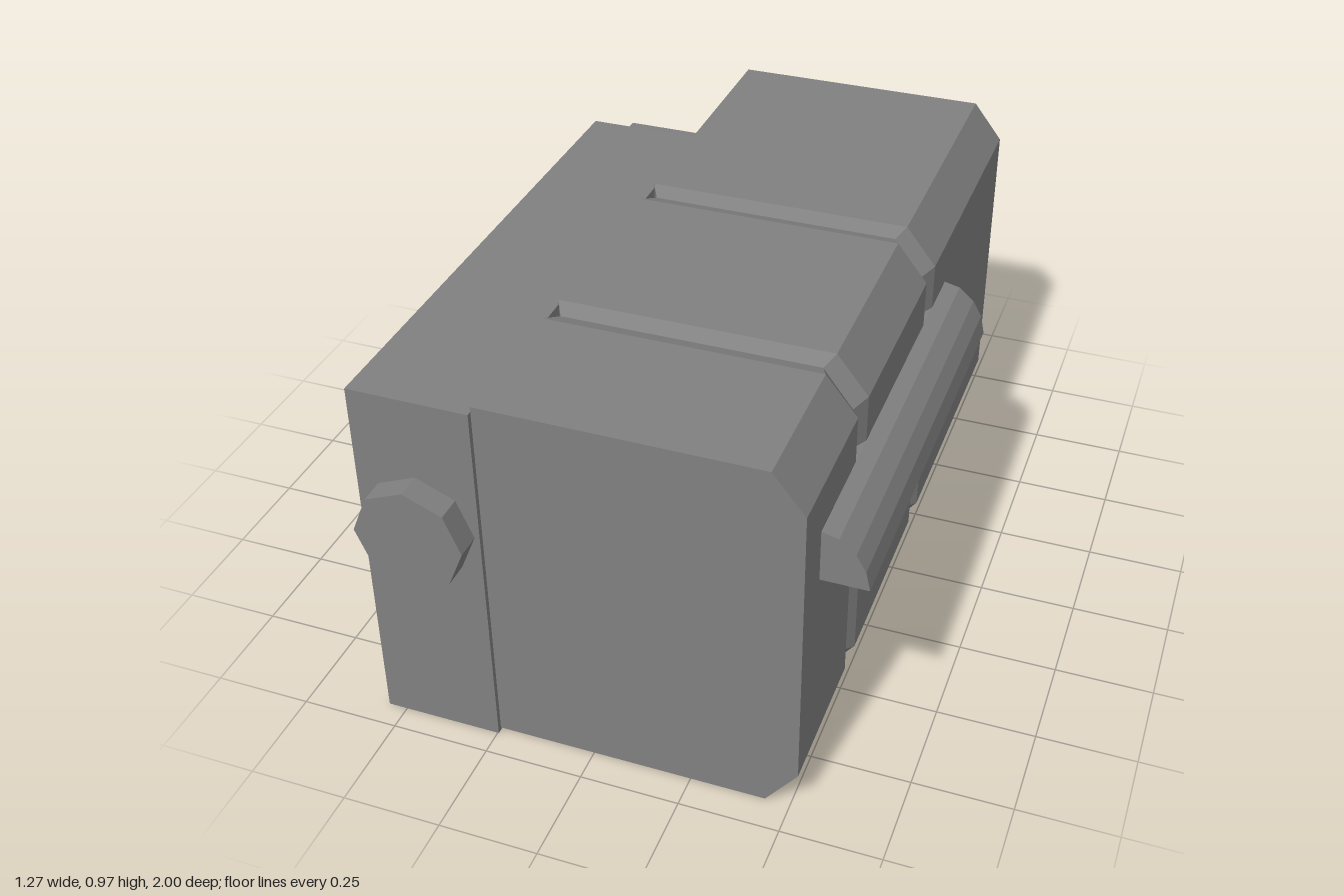
import * as THREE from 'three';

const grey = new THREE.MeshStandardMaterial({ color: 0x808080, flatShading: true });
grey.name = 'plain grey';

function part(name, geometry, x = 0, y = 0, z = 0) {
  const mesh = new THREE.Mesh(geometry, grey);
  mesh.name = name;
  mesh.position.set(x, y, z);
  return mesh;
}

function prism(points, depth) {
  const shape = new THREE.Shape(points.map(([x, y]) => new THREE.Vector2(x, y)));
  return new THREE.ExtrudeGeometry(shape, { depth, bevelEnabled: false });
}

// Chamfered block lofted along z, pinched into V grooves at some sections
function bodyGeometry() {
  const profile = [
    [-0.247, 0.007], [0.44, 0.007], [0.519, 0.11],
    [0.519, 0.873], [0.44, 0.973], [-0.247, 0.973],
  ];
  const cx = 0.136, cy = 0.49, n = profile.length;
  const sections = [[-0.926, 0]];
  for (const z of [-0.12, 0.497]) sections.push([z - 0.044, 0], [z, 1], [z + 0.044, 0]);
  sections.push([0.922, 0]);
  const rings = sections.map(([z, pinch]) => profile.map(([x, y]) => [
    cx + (x - cx) * (1 - 0.063 * pinch), cy + (y - cy) * (1 - 0.031 * pinch), z,
  ]));
  const positions = [];
  const tri = (a, b, c) => positions.push(...a, ...b, ...c);
  for (let i = 0; i < rings.length - 1; i++) {
    for (let j = 0; j < n; j++) {
      const k = (j + 1) % n, r = rings[i], s = rings[i + 1];
      tri(r[j], r[k], s[k]);
      tri(r[j], s[k], s[j]);
    }
  }
  // End caps
  const back = rings[0], front = rings[rings.length - 1];
  for (let j = 1; j < n - 1; j++) {
    tri(back[0], back[j + 1], back[j]);
    tri(front[0], front[j], front[j + 1]);
  }
  const geometry = new THREE.BufferGeometry();
  geometry.setAttribute('position', new THREE.Float32BufferAttribute(positions, 3));
  geometry.computeVertexNormals();
  return geometry;
}

// Octagonal knob along z with a corner pointing up
function knobGeometry(radius, depth) {
  return new THREE.CylinderGeometry(radius, radius, depth, 8).rotateX(Math.PI / 2);
}

export function createModel() {
  const model = new THREE.Group();
  model.name = 'groovedCase';

  model.add(part('body', bodyGeometry()));

  // Side panel, stepped at the rear; drawn in (z, y) and extruded towards -x
  const panel = prism([
    [-0.9, 0], [0.935, 0], [0.935, 0.96], [-0.48, 0.96],
    [-0.48, 0.84], [-0.75, 0.83], [-0.75, 0.385], [-0.9, 0.355],
  ], 0.302).rotateY(-Math.PI / 2);
  model.add(part('sidePanel', panel, -0.247));

  // Handles on the side panel
  const handle = prism([
    [-0.549, 0.812], [-0.574, 0.812], [-0.639, 0.744], [-0.639, 0.24],
    [-0.574, 0.172], [-0.549, 0.172], [-0.549, 0.233], [-0.574, 0.233],
    [-0.574, 0.734], [-0.549, 0.734],
  ], 0.074);
  for (const [name, z] of [['rearHandle', -0.414], ['frontHandle', 0.484]]) {
    model.add(part(name, handle, 0, 0, z));
  }

  // Quarter-round rail on the left side
  const rail = prism([
    [0.5, 0.615], [0.635, 0.615], [0.624, 0.665], [0.6, 0.706],
    [0.56, 0.74], [0.519, 0.75], [0.5, 0.75],
  ], 1.11);
  model.add(part('sideRail', rail, 0, 0, -0.302));

  // Knobs
  model.add(part('frontKnob', knobGeometry(0.137, 0.08), -0.397, 0.615, 0.96));
  for (const [name, x] of [['rearKnobRight', -0.077], ['rearKnobLeft', 0.318]]) {
    model.add(part(name, knobGeometry(0.094, 0.09), x, 0.548, -0.955));
  }
  return model;
}
